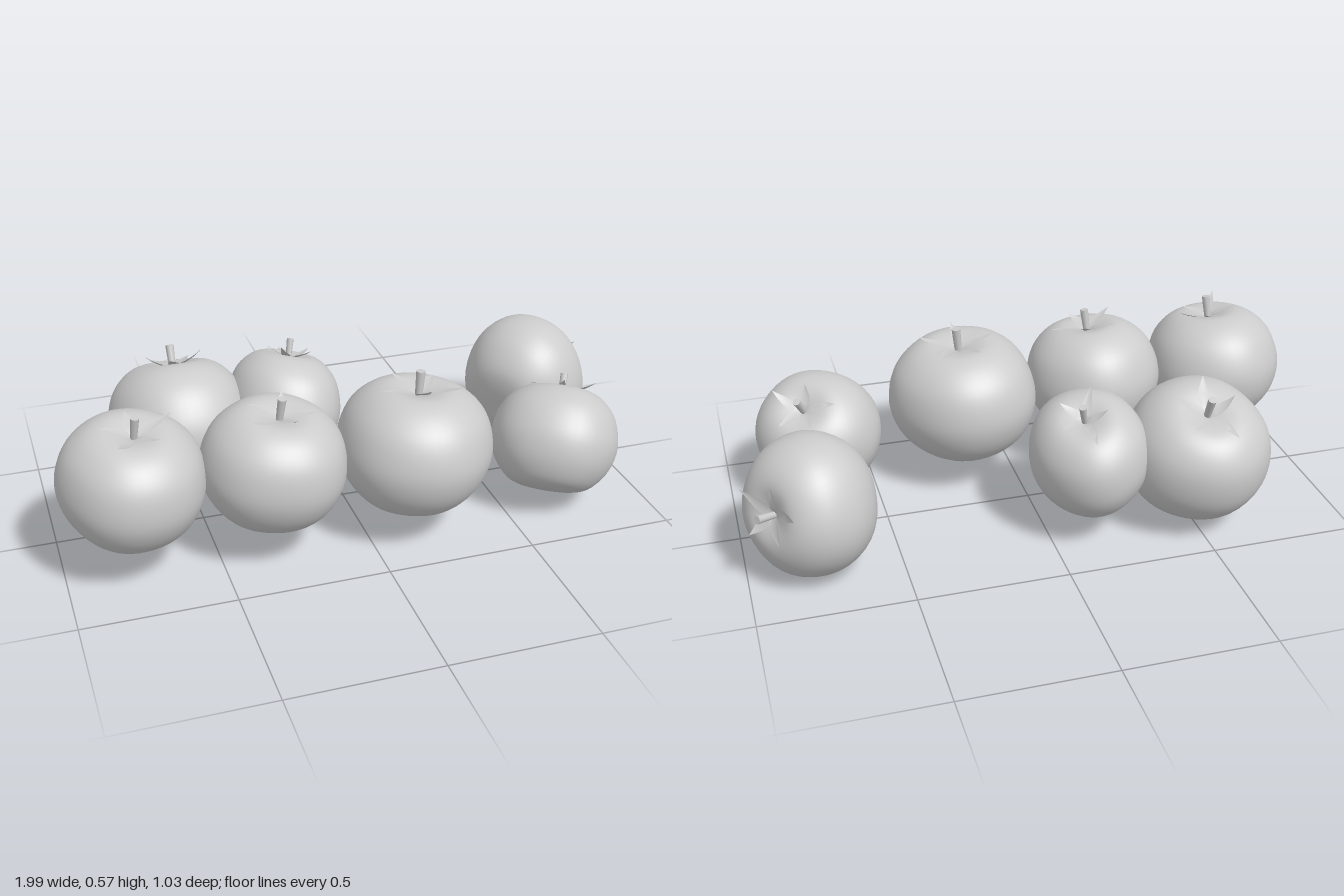
import * as THREE from 'three';
import { mergeVertices } from 'three/addons/utils/BufferGeometryUtils.js';

const material = new THREE.MeshStandardMaterial({ color: 0xcccccc });
const leafMaterial = new THREE.MeshStandardMaterial({ color: 0xcccccc, side: THREE.DoubleSide });

// Fruit profile, from the broad flat base over the domed shoulder into the stem dimple
const profile = new THREE.SplineCurve([
  [0, -0.19], [0.08, -0.188], [0.15, -0.165], [0.207, -0.1], [0.234, -0.02],
  [0.23, 0.055], [0.204, 0.125], [0.155, 0.177], [0.1, 0.2], [0.045, 0.192], [0, 0.172],
].map(([r, y]) => new THREE.Vector2(r, y)));

// Lathed fruit with faint lobes so that it is not perfectly round
function bodyGeometry(phase) {
  const points = profile.getPoints(40);
  points.forEach((p) => { p.x = Math.max(0, p.x); });
  let geometry = new THREE.LatheGeometry(points, 48);
  const pos = geometry.attributes.position;
  for (let i = 0; i < pos.count; i++) {
    const x = pos.getX(i), z = pos.getZ(i);
    const a = Math.atan2(z, x) + phase;
    const k = 1 + 0.01 * Math.cos(3 * a) + 0.008 * Math.cos(5 * a + phase);
    pos.setX(i, x * k);
    pos.setZ(i, z * k);
  }
  geometry.deleteAttribute('uv');
  geometry.deleteAttribute('normal');
  geometry = mergeVertices(geometry, 1e-5);
  geometry.computeVertexNormals();
  return geometry;
}

// Pointed leaf: three-point cross-sections that widen, taper and curl upward
function sepalGeometry(length, curl, bend) {
  const steps = 7, verts = [], index = [];
  for (let i = 0; i <= steps; i++) {
    const t = i / steps;
    const half = 0.005 * (1 - t) + 0.016 * Math.sin(Math.PI * Math.pow(t, 0.75));
    const y = 0.176 + 0.03 * Math.pow(t, 0.6) + curl * t * t * t;
    for (const s of [-1, 0, 1]) {
      verts.push(0.004 + length * t, y + Math.abs(s) * half * 0.2, s * half + bend * t * t);
    }
    if (i === steps) break;
    for (let j = 0; j < 2; j++) {
      const a = i * 3 + j;
      index.push(a, a + 1, a + 3, a + 1, a + 4, a + 3);
    }
  }
  const geometry = new THREE.BufferGeometry();
  geometry.setAttribute('position', new THREE.Float32BufferAttribute(verts, 3));
  geometry.setIndex(index);
  geometry.computeVertexNormals();
  return geometry;
}

function makeCalyx(phase) {
  const calyx = new THREE.Group();
  calyx.name = 'calyx';
  for (let i = 0; i < 5; i++) {
    const v = Math.sin(i * 2.4 + phase * 3);
    const sepal = new THREE.Mesh(
      sepalGeometry(0.108 + 0.022 * v, 0.012 + 0.016 * Math.cos(i * 1.9 + phase), 0.025 * v),
      leafMaterial);
    sepal.name = 'sepal';
    sepal.rotation.y = phase + (i / 5) * Math.PI * 2 + 0.15 * v;
    calyx.add(sepal);
  }
  // Short cut stem, slightly flared at its end
  const geometry = new THREE.CylinderGeometry(0.014, 0.011, 0.09, 10);
  geometry.translate(0, 0.045, 0);
  const stem = new THREE.Mesh(geometry, material);
  stem.name = 'stem';
  stem.position.y = 0.168;
  calyx.add(stem);
  return calyx;
}

// A tomato tilted along its axis, then sized to fill the box min..max
function makeTomato({ name, axis, min, max }, phase) {
  const tilted = new THREE.Group();
  tilted.quaternion.setFromUnitVectors(
    new THREE.Vector3(0, 1, 0), new THREE.Vector3(...axis).normalize());
  const body = new THREE.Mesh(bodyGeometry(phase), material);
  body.name = 'fruit';
  tilted.add(body);
  const bounds = new THREE.Box3().setFromObject(tilted, true);
  tilted.add(makeCalyx(phase));

  const low = new THREE.Vector3(...min), high = new THREE.Vector3(...max);
  const tomato = new THREE.Group();
  tomato.name = name;
  tomato.scale.copy(high).sub(low).divide(bounds.getSize(new THREE.Vector3()));
  tomato.position.copy(low).sub(bounds.min.clone().multiply(tomato.scale));
  tomato.add(tilted);
  return tomato;
}

const tomatoes = [
  { name: 'frontRightTomato', axis: [0.08, 1, 0.16], min: [-1, 0.125, -0.025], max: [-0.53, 0.525, 0.47] },
  { name: 'frontMiddleTomato', axis: [0.1, 1, 0.12], min: [-0.55, 0.12, 0], max: [-0.075, 0.52, 0.485] },
  { name: 'frontCentreTomato', axis: [0.08, 1, -0.04], min: [-0.085, 0.1, -0.025], max: [0.43, 0.515, 0.515] },
  { name: 'frontLeftTomato', axis: [0.33, 0.8, -0.48], min: [0.47, 0.03, 0.025], max: [0.9, 0.44, 0.457] },
  { name: 'backLeftTomato', axis: [0.76, 0.23, -0.58], min: [0.57, 0, -0.45], max: [0.99, 0.47, 0] },
  { name: 'backRightTomato', axis: [0, 0.9, -0.38], min: [-0.76, 0.03, -0.515], max: [-0.27, 0.48, 0] },
  { name: 'backMiddleTomato', axis: [0.22, 0.9, -0.28], min: [-0.345, 0.08, -0.455], max: [0.05, 0.475, 0.005] },
];

export function createModel() {
  const model = new THREE.Group();
  model.name = 'tomatoes';
  tomatoes.forEach((spec, i) => model.add(makeTomato(spec, 0.4 + i * 0.83)));
  return model;
}
